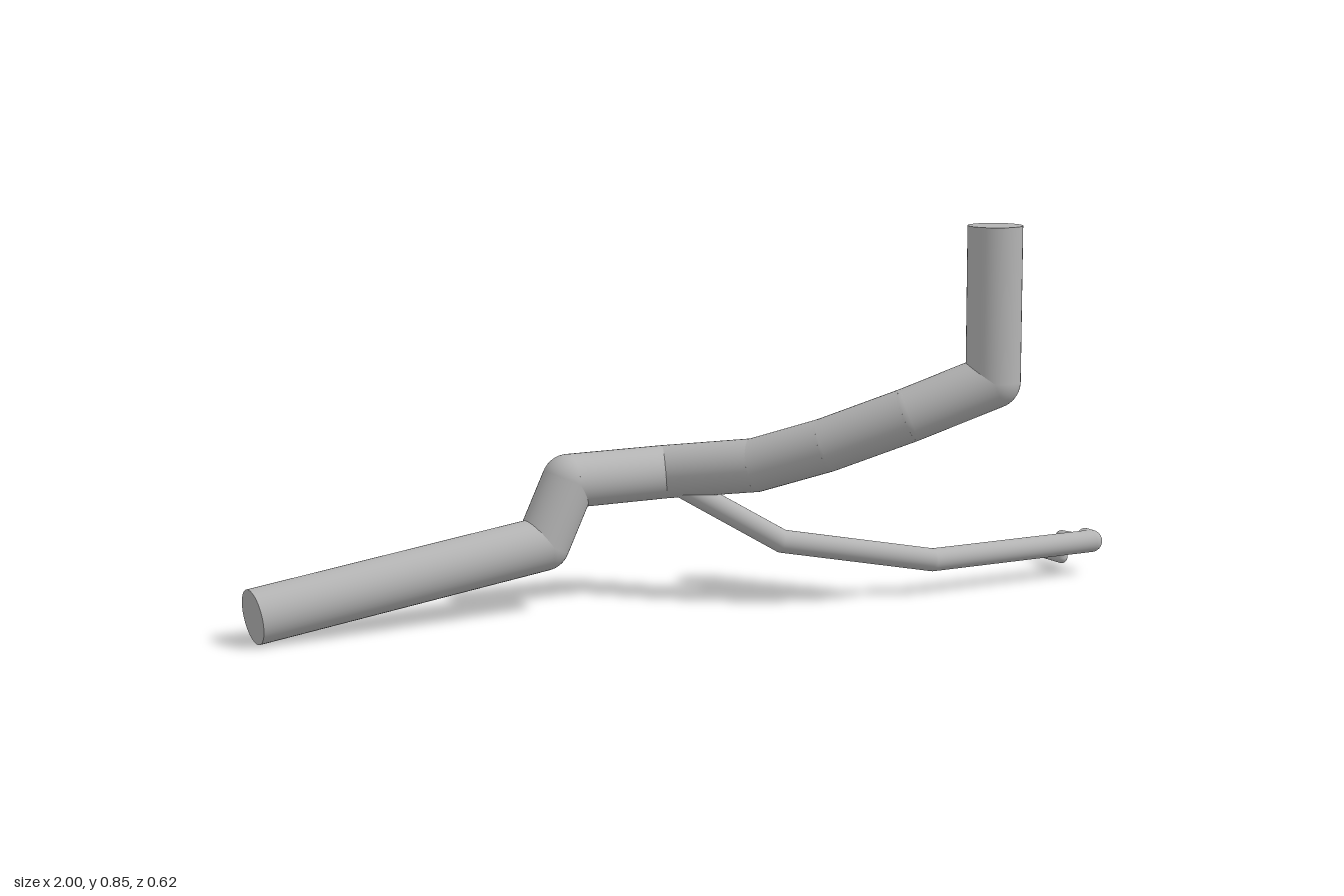
import * as THREE from 'three';

const metal = new THREE.MeshStandardMaterial({ color: 0xb4b4b4 });
metal.name = 'plain grey metal';

// Capped straight pipes joined by round elbows, following a list of points.
function pipeRun(name, radius, points) {
  const run = new THREE.Group();
  run.name = name;
  const path = points.map((p) => new THREE.Vector3(...p));
  const up = new THREE.Vector3(0, 1, 0);
  for (let i = 0; i < path.length - 1; i++) {
    const dir = path[i + 1].clone().sub(path[i]);
    const pipe = new THREE.Mesh(new THREE.CylinderGeometry(radius, radius, dir.length(), 40), metal);
    pipe.name = name + 'Section' + (i + 1);
    pipe.position.copy(path[i]).addScaledVector(dir, 0.5);
    pipe.quaternion.setFromUnitVectors(up, dir.normalize());
    run.add(pipe);
    if (i > 0) {
      const elbow = new THREE.Mesh(new THREE.SphereGeometry(radius, 40, 24), metal);
      elbow.name = name + 'Elbow' + i;
      elbow.position.copy(path[i]);
      run.add(elbow);
    }
  }
  return run;
}

export function createModel() {
  const model = new THREE.Group();
  model.name = 'branchedPipe';

  // Wide pipe: sloping inlet, step up, forward sweep and upright outlet
  model.add(pipeRun('mainPipe', 0.06, [
    [-0.992, 0.06, -0.25], [-0.315, 0.15, -0.25], [-0.25, 0.285, -0.25],
    [-0.01, 0.285, -0.25], [0.13, 0.313, -0.085], [0.24, 0.367, 0.037],
    [0.375, 0.44, 0.16], [0.535, 0.515, 0.25], [0.535, 0.855, 0.25],
  ]));

  // Medium branch leaving the wide pipe, ending in a short backward stub
  model.add(pipeRun('branchPipe', 0.026, [
    [0.0, 0.265, -0.22], [0.19, 0.138, -0.068], [0.53, 0.078, 0.027],
    [0.973, 0.078, 0.027], [0.973, 0.078, 0],
  ]));

  // Thin stepped tail
  model.add(pipeRun('tailPipe', 0.0145, [
    [0.97, 0.077, 0.02], [0.97, 0.07, -0.084],
    [0.97, 0.02, -0.084], [0.97, 0.02, -0.195],
  ]));

  return model;
}
